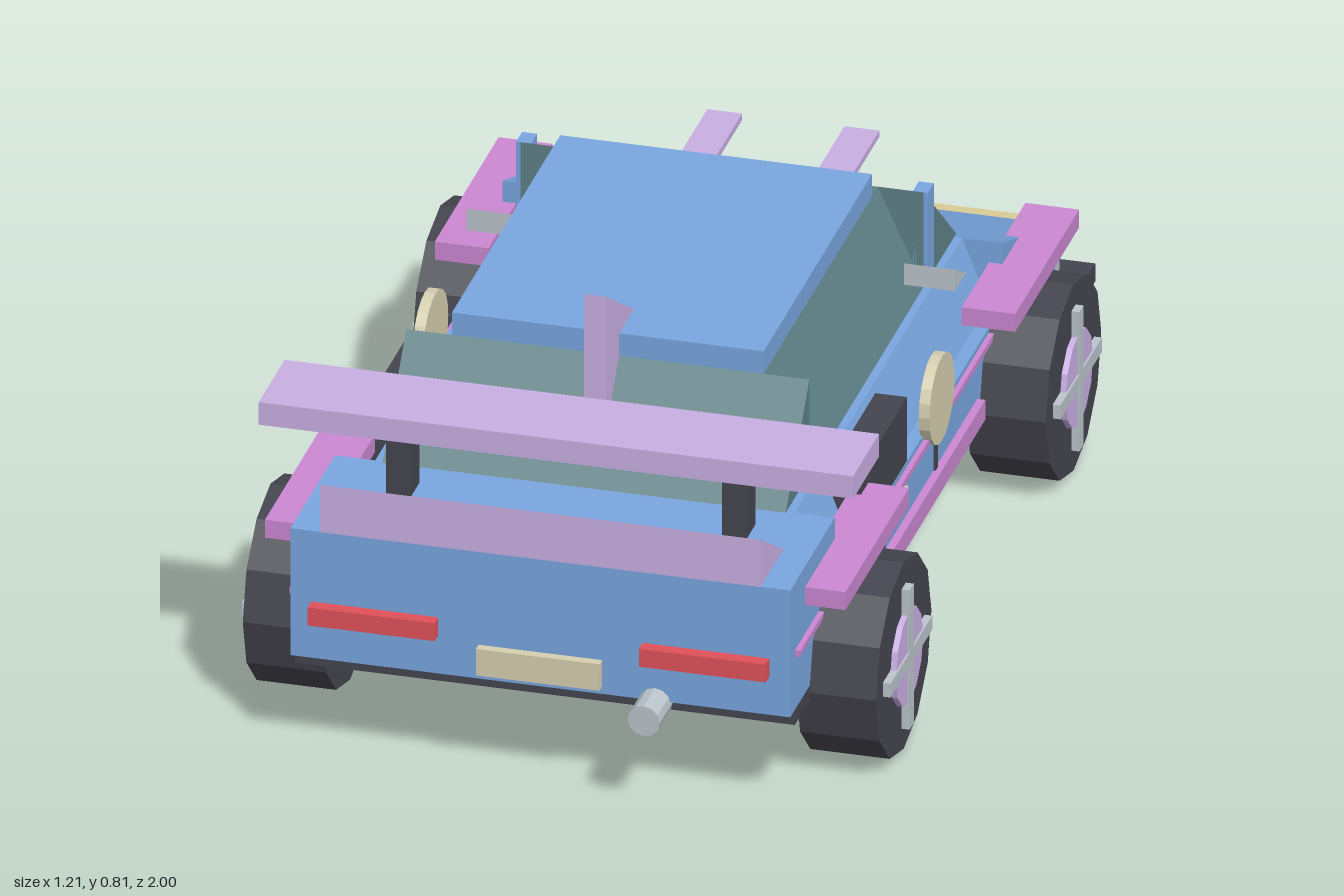
import * as THREE from 'three';

const mat = (color) => new THREE.MeshStandardMaterial({ color, flatShading: true });
const BLUE = mat(0x7aa7e0), LILAC = mat(0xc9b0e4), PINK = mat(0xcc88d4), DARK = mat(0x45454f),
  GLASS = mat(0x5f8288), RED = mat(0xe0525a), CREAM = mat(0xd6d0b0), AMBER = mat(0xd8cc96),
  STEEL = mat(0xbcc6cc);

export function createModel() {
  const car = new THREE.Group();
  car.name = 'raceCar';

  const add = (name, geometry, material, parent = car) => {
    const mesh = new THREE.Mesh(geometry, material);
    mesh.name = name;
    parent.add(mesh);
    return mesh;
  };
  // box given by its limits on each axis
  const box = (name, material, [x0, x1], [y0, y1], [z0, z1], parent) => {
    const m = add(name, new THREE.BoxGeometry(Math.abs(x1 - x0), y1 - y0, z1 - z0), material, parent);
    m.position.set((x0 + x1) / 2, (y0 + y1) / 2, (z0 + z1) / 2);
    return m;
  };
  const extrude = (points, depth) => new THREE.ExtrudeGeometry(
    new THREE.Shape(points.map(([a, b]) => new THREE.Vector2(a, b))), { depth, bevelEnabled: false });
  // side profile of [z, y] points, given a width centred on x
  const sideProfile = (name, material, points, width, x = 0) => {
    const g = extrude(points, width).translate(0, 0, -width / 2).rotateY(-Math.PI / 2);
    return add(name, g.translate(x, 0, 0), material);
  };
  // half cross-section of [x, y] points, mirrored and swept from z0 to z1
  const crossSection = (name, material, half, z0, z1) => {
    const all = [...half, ...half.map(([x, y]) => [-x, y]).reverse()];
    return add(name, extrude(all, z1 - z0).translate(0, 0, z0), material);
  };
  const bothSides = (fn) => [1, -1].forEach(fn);

  // Body: nose, recessed doors, tail
  sideProfile('nose', BLUE, [[-0.51, 0.2], [-0.51, 0.455], [-0.865, 0.32], [-0.865, 0.2]], 0.93);
  crossSection('doorSection', BLUE,
    [[0.465, 0.2], [0.465, 0.33], [0.44, 0.33], [0.39, 0.455]], -0.51, 0.62);
  box('tail', BLUE, [-0.465, 0.465], [0.2, 0.455], [0.62, 0.92]);
  box('underbody', DARK, [-0.465, 0.465], [0.17, 0.2], [-0.82, 0.89]);

  // Cabin
  crossSection('cabinGlass', GLASS, [[0.375, 0.455], [0.29, 0.645]], -0.305, 0.465);
  sideProfile('windshield', GLASS, [[-0.305, 0.455], [-0.305, 0.645], [-0.525, 0.455]], 0.75);
  sideProfile('rearWindow', GLASS, [[0.465, 0.455], [0.625, 0.455], [0.465, 0.645]], 0.75);
  box('roof', BLUE, [-0.29, 0.29], [0.645, 0.69], [-0.265, 0.465]);
  sideProfile('roofFin', LILAC, [[0.55, 0.545], [0.55, 0.805], [0.365, 0.69]], 0.042);

  // Rear wing and ducktail
  sideProfile('ducktail', LILAC, [[0.921, 0.455], [0.921, 0.55], [0.765, 0.455]], 0.82);
  box('wing', LILAC, [-0.553, 0.553], [0.6, 0.645], [0.64, 0.815]);

  // Nose details
  box('splitter', DARK, [-0.503, 0.503], [0.145, 0.18], [-1, -0.85]);
  box('splitterPlate', STEEL, [-0.447, 0.447], [0.18, 0.2], [-0.96, -0.865]);
  box('grille', DARK, [-0.146, 0.146], [0.225, 0.29], [-0.9, -0.86]);
  box('towHook', RED, [0.207, 0.253], [0.198, 0.24], [-0.978, -0.905]);

  // Tail details
  box('rearPlate', CREAM, [-0.115, 0.115], [0.215, 0.268], [0.92, 0.938]);
  const exhaust = add('exhaust', new THREE.CylinderGeometry(0.03, 0.03, 0.09, 12).rotateX(Math.PI / 2), STEEL);
  exhaust.position.set(0.213, 0.195, 0.95);

  bothSides((s) => {
    const X = (a, b) => [s * a, s * b];
    box('headlight', AMBER, X(0.2, 0.41), [0.28, 0.32], [-0.888, -0.86]);
    box('taillight', RED, X(0.19, 0.426), [0.277, 0.313], [0.915, 0.945]);
    box('wingSupport', DARK, X(0.29, 0.335), [0.45, 0.6], [0.685, 0.745]);
    box('hoodFin', LILAC, X(0.095, 0.16), [0.493, 0.506], [-0.785, -0.465]);
    box('windshieldPillar', BLUE, X(0.355, 0.383), [0.455, 0.645], [-0.345, -0.305]);
    box('sideScoop', DARK, X(0.405, 0.464), [0.325, 0.458], [0.13, 0.44]);
    box('sideSkirt', PINK, X(0.44, 0.48), [0.185, 0.225], [-0.34, 0.41]);
    box('sideTrim', PINK, X(0.45, 0.475), [0.308, 0.32], [-0.82, 0.89]);
    box('doorHandle', CREAM, X(0.46, 0.475), [0.28, 0.296], [0.16, 0.245]);
    [-0.053, 0.3].forEach((z) => box('doorSeam', DARK, X(0.46, 0.469), [0.225, 0.31], [z - 0.007, z + 0.007]));
    sideProfile('mirror', STEEL, [[-0.228, 0.495], [-0.228, 0.538], [-0.305, 0.495]], 0.095, s * 0.407);

    // Blank door roundel
    const disc = add('doorRoundel', new THREE.CylinderGeometry(0.085, 0.085, 0.02, 20).rotateZ(Math.PI / 2), CREAM);
    disc.position.set(s * 0.471, 0.372, -0.045);

    // Wheels with flat fender plates above
    [-0.54, 0.605].forEach((z) => {
      box('fender', PINK, X(0.44, 0.54), [0.377, 0.413], [z - 0.215, z + 0.215]);
      const wheel = new THREE.Group();
      wheel.name = 'wheel';
      wheel.position.set(s * 0.515, 0.187, z);
      car.add(wheel);
      add('tire', new THREE.CylinderGeometry(0.187, 0.187, 0.148, 12).rotateZ(Math.PI / 2), DARK, wheel);
      const hub = add('hub', new THREE.CylinderGeometry(0.092, 0.092, 0.02, 12).rotateZ(Math.PI / 2), LILAC, wheel);
      hub.position.x = s * 0.075;
      box('spoke', STEEL, X(0.07, 0.089), [-0.14, 0.14], [-0.014, 0.014], wheel);
      box('spoke', STEEL, X(0.07, 0.0885), [-0.014, 0.014], [-0.14, 0.14], wheel);
    });
  });

  return car;
}
